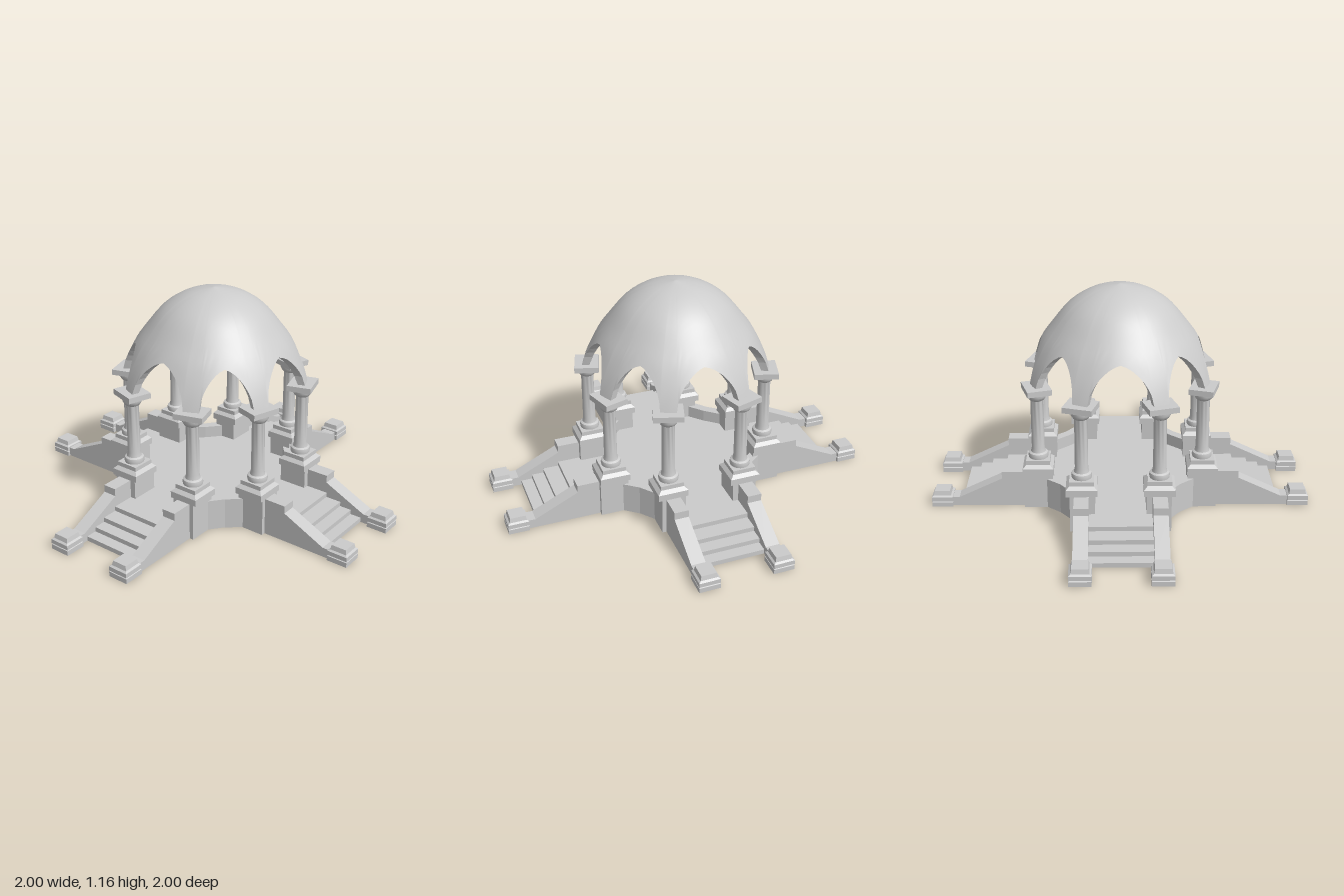
import * as THREE from 'three';
import { mergeVertices, toCreasedNormals } from 'three/addons/utils/BufferGeometryUtils.js';

const smooth = new THREE.MeshStandardMaterial({ color: 0xcccccc });
const flat = new THREE.MeshStandardMaterial({ color: 0xcccccc, flatShading: true });

function add(parent, name, geometry, material = flat) {
  const mesh = new THREE.Mesh(geometry, material);
  mesh.name = name;
  parent.add(mesh);
  return mesh;
}

const vecs = (pts) => pts.map(([x, y]) => new THREE.Vector2(x, y));

// Square stacked moulding from [half width, height] pairs
function squareStack(profile) {
  const g = new THREE.LatheGeometry(vecs(profile.map(([w, y]) => [w * Math.SQRT2, y])), 4);
  return g.rotateY(Math.PI / 4);
}

// Side profile [outward, up] extruded across x and centred on it
function sideProfile(points, width) {
  const g = new THREE.ExtrudeGeometry(new THREE.Shape(vecs(points)), { depth: width, bevelEnabled: false });
  return g.rotateY(-Math.PI / 2).translate(width / 2, 0, 0);
}

// Dome outline: radius for a given height
const domeLine = new THREE.SplineCurve(vecs([
  [0, 1.16], [0.14, 1.128], [0.265, 1.052], [0.37, 0.925], [0.412, 0.865], [0.473, 0.74], [0.497, 0.66],
])).getPoints(120);
function domeRadius(y) {
  if (y >= 1.16) return 0;
  for (let i = 1; i < domeLine.length; i++) {
    const a = domeLine[i - 1], b = domeLine[i];
    if (y >= b.y) return a.x + (b.x - a.x) * (a.y - y) / (a.y - b.y);
  }
  return 0.497;
}
const innerRadius = (y) => domeRadius(y + 0.035) * 0.94;

// Lower edge of the dome: pointed arches between eight feet
const FRONT_HALF = 19.5, DIAGONAL_HALF = 16;
function archEdge(deg) {
  const m = ((deg % 90) + 90) % 90;
  const t = Math.min(1, Math.min(m, 90 - m) / FRONT_HALF, Math.abs(m - 45) / DIAGONAL_HALF);
  return 0.87 - 0.198 * (0.85 * (1 - Math.sqrt(1 - t * t)) + 0.15 * t);
}

function domeAngles() {
  const steps = [0, 0.2, 0.4, 0.6, 0.75, 0.87, 0.95, 1];
  const eighth = [...steps.map((t) => t * FRONT_HALF), 24.25, ...steps.map((t) => 45 - t * DIAGONAL_HALF).reverse()];
  const quarter = [...eighth, ...eighth.slice(1, -1).reverse().map((a) => 90 - a)];
  const all = [];
  for (let q = 0; q < 4; q++) for (const a of quarter) all.push(a + q * 90);
  return [...all, 360];
}

// Grid around the dome; at(angle, row 0..1) returns [radius, height]
function domeSurface(at, rows, flip) {
  const angles = domeAngles(), pos = [], index = [];
  angles.forEach((deg, i) => {
    const a = THREE.MathUtils.degToRad(deg);
    for (let j = 0; j <= rows; j++) {
      const [r, y] = at(deg, j / rows);
      pos.push(r * Math.sin(a), y, r * Math.cos(a));
      if (i === angles.length - 1 || j === rows) continue;
      const p = i * (rows + 1) + j, q = p + 1, s = p + rows + 1, t = s + 1;
      index.push(...(flip ? [p, s, q, q, s, t] : [p, q, s, q, t, s]));
    }
  });
  let g = new THREE.BufferGeometry();
  g.setAttribute('position', new THREE.Float32BufferAttribute(pos, 3));
  g.setIndex(index);
  g = mergeVertices(g, 1e-5);
  g.computeVertexNormals();
  return g;
}

function buildDome() {
  const dome = new THREE.Group();
  dome.name = 'dome';
  const shell = (top, radius) => (deg, t) => {
    const y = top - (top - archEdge(deg)) * t * t;
    return [t === 0 ? 0 : radius(y), y];
  };
  add(dome, 'domeOutside', domeSurface(shell(1.16, domeRadius), 14, false), smooth);
  add(dome, 'domeInside', domeSurface(shell(1.125, innerRadius), 14, true), smooth);
  const rim = (deg, t) => {
    const y = archEdge(deg);
    return [t ? innerRadius(y) : domeRadius(y), y];
  };
  add(dome, 'archUndersides', domeSurface(rim, 1, false));
  return dome;
}

// Pedestal, round shaft and capital; the slab turns toward the dome foot
function buildColumn(x, z) {
  const column = new THREE.Group();
  column.name = 'column';
  add(column, 'pedestal', squareStack([
    [0, 0.2], [0.08, 0.2], [0.08, 0.235], [0.062, 0.252], [0.062, 0.275], [0, 0.275],
  ]));
  const shaft = new THREE.LatheGeometry(vecs([
    [0, 0.27], [0.05, 0.27], [0.053, 0.288], [0.05, 0.302], [0.039, 0.308], [0.034, 0.33], [0.033, 0.6],
    [0.042, 0.607], [0.052, 0.625], [0.052, 0.646], [0, 0.646],
  ]), 20);
  add(column, 'shaft', toCreasedNormals(shaft, 0.6), smooth);
  const slab = add(column, 'capitalSlab', new THREE.BoxGeometry(0.154, 0.03, 0.128));
  slab.position.y = 0.66;
  const front = Math.abs(z) > Math.abs(x);
  const turn = THREE.MathUtils.degToRad(front ? 17 : 73);
  slab.rotation.y = Math.atan2(Math.sign(x) * Math.sin(turn), Math.sign(z) * Math.cos(turn));
  column.position.set(x, 0, z);
  return column;
}

// Stepped sheet leading down from the floor
function buildStairs() {
  const top = [[0.62, 0.1], [0.63, 0.1], [0.63, 0.075], [0.715, 0.075], [0.715, 0.05],
    [0.78, 0.05], [0.78, 0.025], [0.84, 0.025], [0.84, 0]];
  const under = top.slice(0, -1).reverse().map(([x, y]) => [x - 0.008, y - 0.008]);
  return sideProfile([...top, [0.832, 0], ...under], 0.33);
}

// One stair arm facing +z with its walls, piers and end posts
function buildArm() {
  const arm = new THREE.Group();
  arm.name = 'stairArm';
  add(arm, 'stairs', buildStairs());
  for (const side of [-1, 1]) {
    const wall = add(arm, 'stairWall', sideProfile([
      [0.36, 0], [0.95, 0], [0.95, 0.05], [0.855, 0.05], [0.625, 0.16], [0.625, 0.2], [0.36, 0.2],
    ], 0.075));
    wall.position.x = side * 0.198;
    const pier = add(arm, 'columnPier', new THREE.BoxGeometry(0.127, 0.2, 0.152));
    pier.position.set(side * 0.194, 0.1, 0.431);
    const post = add(arm, 'endPost', squareStack([
      [0, 0], [0.055, 0], [0.055, 0.026], [0.049, 0.029], [0.055, 0.032], [0.055, 0.055],
      [0.045, 0.062], [0.04, 0.086], [0, 0.086],
    ]));
    post.position.set(side * 0.195, 0, 0.945);
    arm.add(buildColumn(side * 0.197, 0.43));
  }
  return arm;
}

// Low bent wall closing the corner between two arms
function buildCorner() {
  const shape = new THREE.Shape(vecs([
    [0.25, 0.395], [0.314, 0.314], [0.395, 0.25], [0.36, 0.21], [0.28, 0.28], [0.21, 0.36],
  ]));
  const g = new THREE.ExtrudeGeometry(shape, { depth: 0.167, bevelEnabled: false });
  return g.rotateX(-Math.PI / 2);
}

// Thin cross-shaped floor with cut corners
function buildFloor() {
  const points = [];
  for (let q = 0; q < 4; q++) {
    const c = Math.round(Math.cos(q * Math.PI / 2)), s = Math.round(Math.sin(q * Math.PI / 2));
    for (const [x, y] of [[0.63, -0.165], [0.63, 0.165], [0.385, 0.165], [0.385, 0.24], [0.3, 0.3], [0.24, 0.385], [0.165, 0.385]]) {
      points.push([x * c - y * s, x * s + y * c]);
    }
  }
  const g = new THREE.ExtrudeGeometry(new THREE.Shape(vecs(points)), { depth: 0.01, bevelEnabled: false });
  return g.rotateX(-Math.PI / 2).translate(0, 0.09, 0);
}

export function createModel() {
  const model = new THREE.Group();
  model.name = 'domedPavilion';
  add(model, 'floor', buildFloor());
  for (let q = 0; q < 4; q++) {
    const arm = buildArm();
    arm.rotation.y = q * Math.PI / 2;
    model.add(arm);
    add(model, 'cornerWall', buildCorner()).rotation.y = q * Math.PI / 2;
  }
  model.add(buildDome());
  return model;
}
